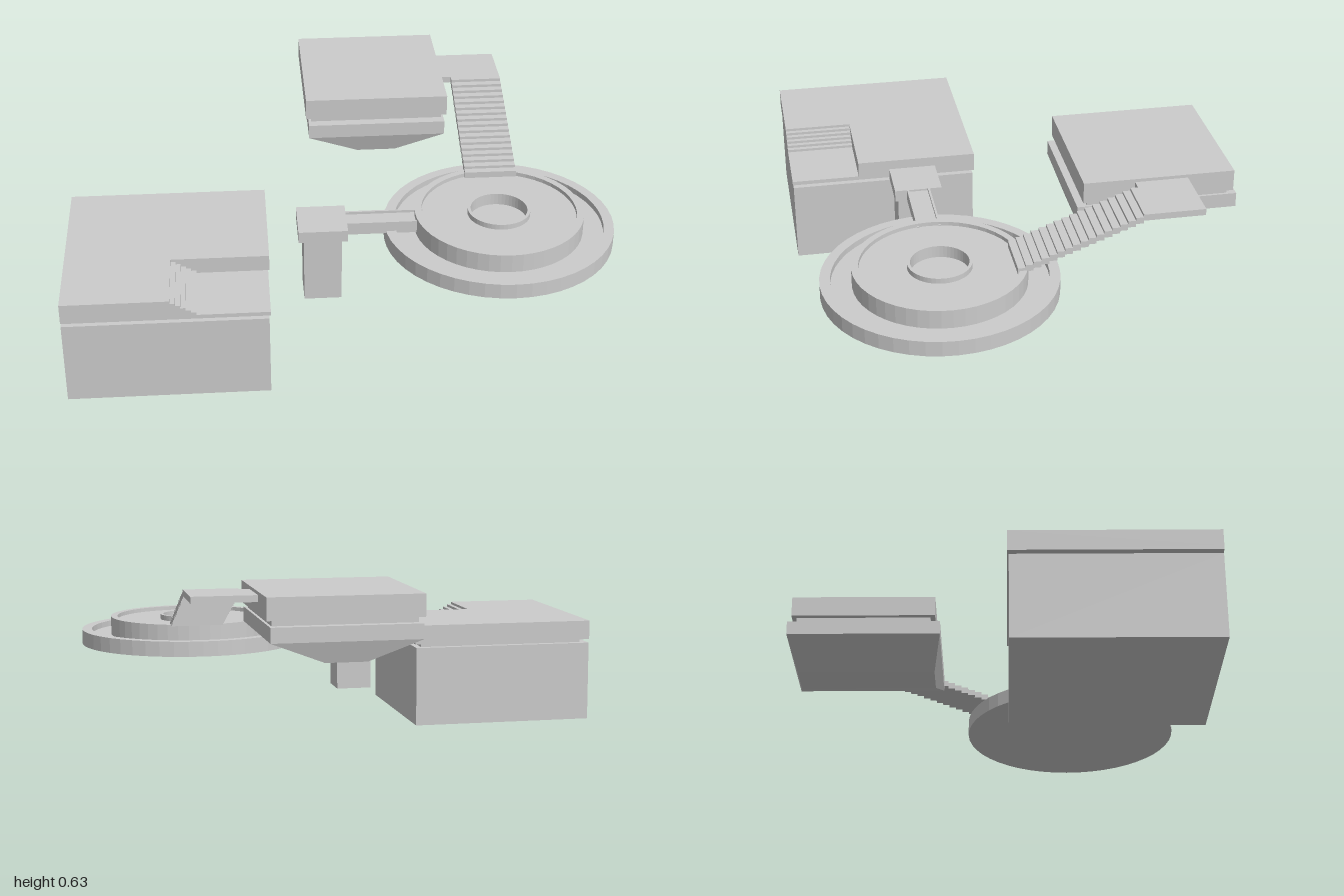
import * as THREE from 'three';

export function createModel() {
  const model = new THREE.Group();
  const mat = new THREE.MeshStandardMaterial({ color: 0xcccccc, flatShading: true });

  function add(parent, name, geometry) {
    const mesh = new THREE.Mesh(geometry, mat);
    mesh.name = name;
    parent.add(mesh);
    return mesh;
  }
  function group(name) {
    const g = new THREE.Group();
    g.name = name;
    model.add(g);
    return g;
  }
  // box given by its limits on each axis
  function box(parent, name, x0, x1, y0, y1, z0, z1) {
    const mesh = add(parent, name, new THREE.BoxGeometry(x1 - x0, y1 - y0, z1 - z0));
    mesh.position.set((x0 + x1) / 2, (y0 + y1) / 2, (z0 + z1) / 2);
    return mesh;
  }

  // square ground building with a sunken corner terrace
  const block = group('squareBuilding');
  box(block, 'buildingBase', -1, -0.285, 0, 0.31, 0.07, 0.782);
  box(block, 'buildingNeck', -0.97, -0.31, 0.31, 0.325, 0.095, 0.755);
  box(block, 'terraceFloor', -1, -0.28, 0.325, 0.34, 0.065, 0.785);
  const roof = new THREE.Shape([
    [-1, 0.065], [-0.275, 0.065], [-0.275, 0.525], [-0.625, 0.525], [-0.625, 0.785], [-1, 0.785],
  ].map(([x, z]) => new THREE.Vector2(x, -z)));
  const roofSlab = add(block, 'roofSlab', new THREE.ExtrudeGeometry(roof, { depth: 0.06, bevelEnabled: false }));
  roofSlab.rotation.x = -Math.PI / 2;
  roofSlab.position.y = 0.34;
  const terraceSteps = 5;
  for (let i = 0; i < terraceSteps; i++) {
    const x = -0.625 + i * 0.018;
    box(block, 'terraceStep', x, x + 0.018, 0.34, 0.39 - i * 0.01, 0.525, 0.785);
  }

  // round platform: raised rims around shallow floors and a central well
  const profile = [
    [0, 0.33], [0.4225, 0.33], [0.4225, 0.387], [0.385, 0.387], [0.385, 0.365], [0.31, 0.365],
    [0.31, 0.435], [0.285, 0.435], [0.285, 0.42], [0.115, 0.42], [0.115, 0.44], [0.104, 0.44],
    [0.104, 0.395], [0, 0.395],
  ].map(([r, y]) => new THREE.Vector2(r, y));
  const platform = add(model, 'roundPlatform', new THREE.LatheGeometry(profile, 48));
  platform.position.set(0.577, 0, 0.328);

  // pillar and the arm joining it to the platform
  const pier = group('pillarAndArm');
  box(pier, 'pillar', -0.145, -0.007, 0.125, 0.38, 0.267, 0.402);
  box(pier, 'pillarCap', -0.165, 0.015, 0.378, 0.422, 0.237, 0.415);
  box(pier, 'arm', 0.015, 0.3, 0.378, 0.415, 0.283, 0.37);
  for (const z of [0.283, 0.362]) box(pier, 'armRail', 0.015, 0.3, 0.415, 0.425, z, z + 0.008);

  // stairway with a stepped underside, ending in a landing
  const steps = 17, run = 0.47 / steps, rise = 0.18 / steps;
  const side = new THREE.Shape();
  side.moveTo(0, 0);
  for (let i = 0; i < steps; i++) {
    side.lineTo(i * run, (i + 1) * rise);
    side.lineTo((i + 1) * run, (i + 1) * rise);
  }
  for (let i = steps; i > 0; i--) {
    side.lineTo(i * run, i * rise - 0.024);
    side.lineTo((i - 1) * run, i * rise - 0.024);
  }
  side.closePath();
  const stairs = add(model, 'stairway', new THREE.ExtrudeGeometry(side, { depth: 0.195, bevelEnabled: false }));
  stairs.rotation.y = Math.PI / 2;
  stairs.position.set(0.488, 0.435, 0.07);
  box(model, 'landing', 0.43, 0.683, 0.591, 0.615, -0.595, -0.4);

  // raised building with a wedge-shaped underside
  const pod = group('raisedBuilding');
  box(pod, 'podRoof', -0.1, 0.45, 0.547, 0.627, -0.768, -0.212);
  box(pod, 'podNeck', -0.08, 0.43, 0.525, 0.547, -0.75, -0.23);
  box(pod, 'podBody', -0.09, 0.44, 0.473, 0.527, -0.785, -0.193);
  const keel = box(pod, 'podKeel', -0.09, 0.44, 0.398, 0.473, -0.785, -0.193);
  const p = keel.geometry.attributes.position;
  for (let i = 0; i < p.count; i++) {
    if (p.getY(i) < 0) {
      p.setX(i, p.getX(i) * 0.28);
      p.setZ(i, p.getZ(i) * 0.91);
    }
  }
  keel.geometry.computeVertexNormals();

  return model;
}
